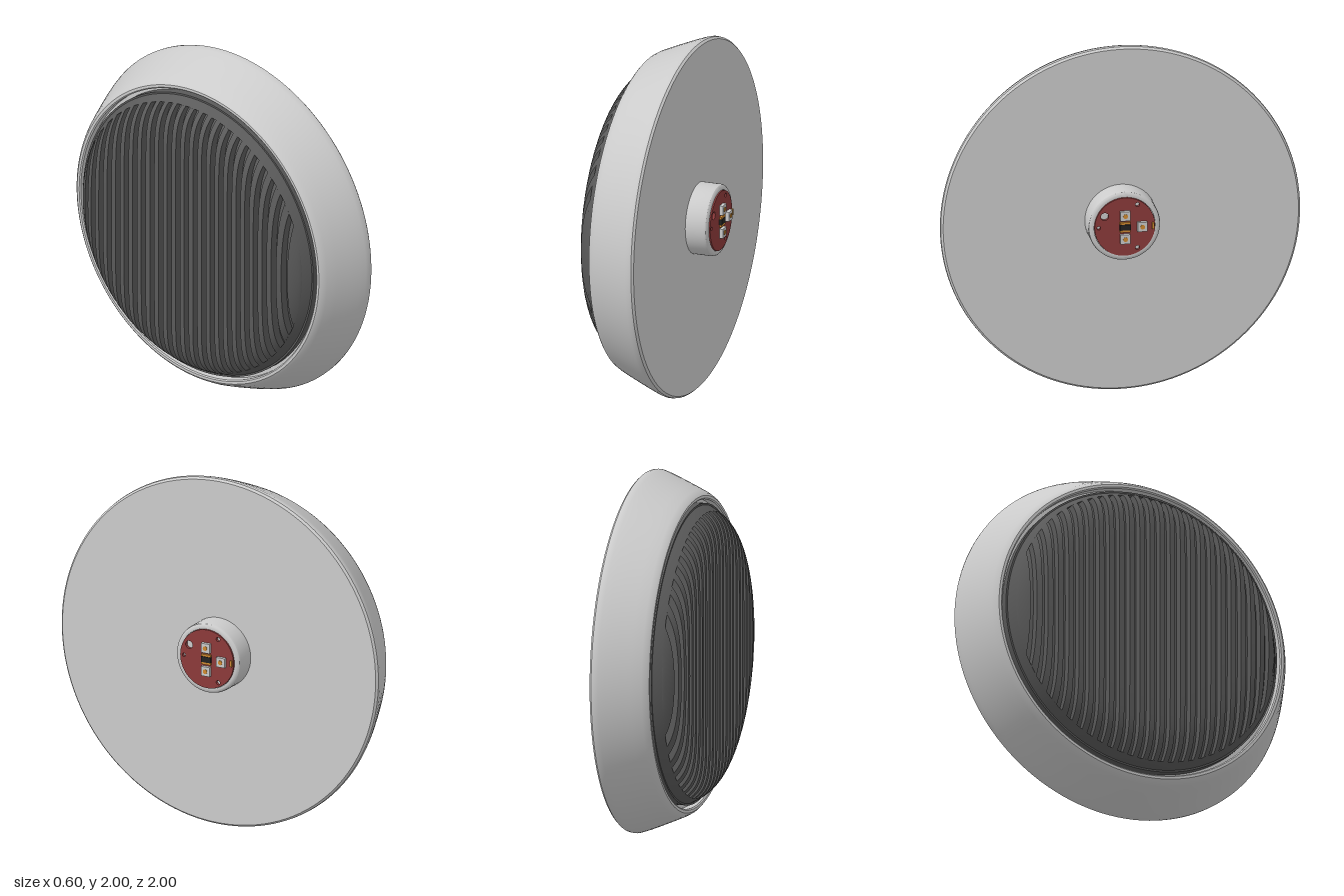
import * as THREE from 'three';
import { toCreasedNormals } from 'three/addons/utils/BufferGeometryUtils.js';

const grey = new THREE.MeshStandardMaterial({ color: 0xcccccc });
const dark = new THREE.MeshStandardMaterial({ color: 0x5a5a5a });
const red = new THREE.MeshStandardMaterial({ color: 0x8c3a3a });
const copper = new THREE.MeshStandardMaterial({ color: 0xd08a30 });
const black = new THREE.MeshStandardMaterial({ color: 0x222222 });

const GRILLE_R = 0.79, PITCH = 0.062, SLOT = 0.032, DEPTH = 0.045;
// Domed grille surface: x position at a radius
const dome = (r) => -0.3 + 0.135 * Math.pow(r / 0.82, 12);

export function createModel() {
  const model = new THREE.Group();
  const add = (name, geometry, material, x = 0, y = 0, z = 0) => {
    const mesh = new THREE.Mesh(geometry, material);
    mesh.name = name;
    mesh.position.set(x, y + 1, z);
    model.add(mesh);
    return mesh;
  };
  // Turned part around the x axis, from [radius, x] pairs
  const turned = (name, pts, material, segments = 128) => {
    const g = new THREE.LatheGeometry(pts.map(([r, x]) => new THREE.Vector2(r, x)), segments);
    g.rotateZ(-Math.PI / 2);
    return add(name, toCreasedNormals(g, 0.5), material);
  };

  // Flared housing with a recessed seat for the grille
  turned('housing', [
    [0.7, -0.12], [0.85, -0.12], [0.85, -0.16], [0.857, -0.166], [0.872, -0.166], [0.885, -0.155],
    [0.9, -0.13], [0.925, -0.075], [0.955, -0.005], [0.98, 0.055], [0.993, 0.09],
    [1, 0.112], [0.998, 0.128], [0.987, 0.14], [0, 0.14],
  ], grey);

  // Slot floor and outer rim of the grille
  const radii = [0, 0.3, 0.5, 0.6, 0.66, 0.7, 0.73, 0.75, 0.77, GRILLE_R];
  turned('grilleFloor', radii.map((r) => [r, dome(r) + DEPTH]), dark);
  turned('grilleRim', [
    [GRILLE_R, dome(GRILLE_R) + DEPTH], [GRILLE_R, dome(GRILLE_R)],
    [0.805, dome(0.805)], [0.82, dome(0.82)], [0.83, -0.165], [0.83, -0.12],
  ], dark);

  // Slats: boxes bent to follow the dome and trimmed to the rim
  const slat = (z0, z1, zSegments) => {
    const g = new THREE.BoxGeometry(1, 2, 1, 1, 56, zSegments);
    const p = g.attributes.position;
    for (let i = 0; i < p.count; i++) {
      const z = z0 + (p.getZ(i) + 0.5) * (z1 - z0);
      const half = Math.sqrt(Math.max(0, GRILLE_R ** 2 - z * z));
      const y = Math.sin(p.getY(i) * Math.PI / 2) * half;
      const x = dome(Math.hypot(y, z)) + (p.getX(i) > 0 ? DEPTH + 0.005 : 0);
      p.setXYZ(i, x, y, z);
    }
    add('grilleSlat', toCreasedNormals(g, 0.6), dark);
  };
  const halfSlat = (PITCH - SLOT) / 2;
  for (let i = -11; i <= 11; i++) slat(i * PITCH - halfSlat, i * PITCH + halfSlat, 1);
  const outer = 12 * PITCH - halfSlat;
  slat(outer, GRILLE_R, 5);
  slat(-GRILLE_R, -outer, 5);

  // Round boss on the flat face
  turned('boss', [
    [0.2, 0.13], [0.2, 0.245], [0.197, 0.257], [0.19, 0.264], [0.18, 0.267],
    [0.17, 0.267], [0.17, 0.255], [0, 0.255],
  ], grey, 64);

  // Circuit board with drilled holes (shape x runs along -z)
  const board = new THREE.Shape().absarc(0, 0, 0.168, 0, Math.PI * 2);
  for (const [y, z, r] of [[0.065, 0.112, 0.022], [0, 0.145, 0.01], [0.125, -0.07, 0.012], [-0.125, -0.07, 0.012]]) {
    board.holes.push(new THREE.Path().absarc(-z, y, r, 0, Math.PI * 2, true));
  }
  const boardGeometry = new THREE.ExtrudeGeometry(board, { depth: 0.018, bevelEnabled: false, curveSegments: 32 });
  boardGeometry.rotateY(Math.PI / 2);
  add('circuitBoard', toCreasedNormals(boardGeometry, 0.5), red, 0.256);

  // Light modules with round copper lenses
  for (const [y, z] of [[0.067, 0], [-0.067, 0], [0, -0.095]]) {
    add('lightModule', new THREE.BoxGeometry(0.02, 0.054, 0.054), grey, 0.284, y, z);
    const lens = new THREE.CylinderGeometry(0.013, 0.013, 0.006, 20);
    lens.rotateZ(-Math.PI / 2);
    add('lens', lens, copper, 0.294, y, z);
  }

  // Central chip with copper contacts, and the edge contact
  add('chip', new THREE.BoxGeometry(0.016, 0.032, 0.06), black, 0.281);
  for (const s of [-1, 1]) {
    add('chipContact', new THREE.BoxGeometry(0.014, 0.012, 0.058), copper, 0.28, s * 0.023);
  }
  add('edgeContact', new THREE.BoxGeometry(0.012, 0.035, 0.012), copper, 0.279, 0, -0.156);

  return model;
}
